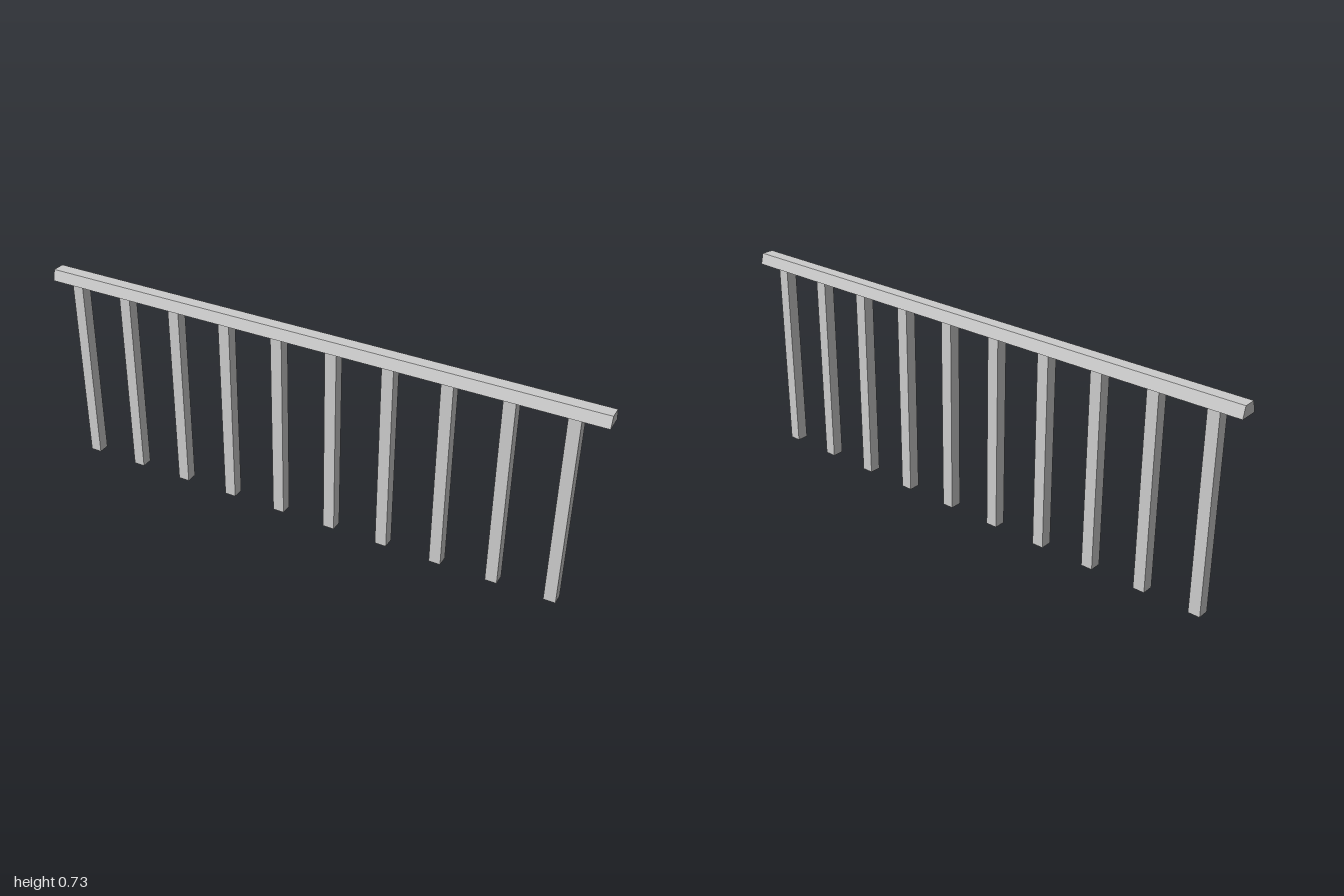
import * as THREE from 'three';

export function createModel() {
  const group = new THREE.Group();
  const material = new THREE.MeshStandardMaterial({ color: 0xcccccc, flatShading: true, side: THREE.DoubleSide });

  const railBottom = 0.691, railTop = 0.73;
  const postWidth = 0.041, postCount = 10, spacing = 0.1996, firstPost = -0.904;

  // Handrail: a trapezoid section running the full length
  const section = new THREE.Shape([
    new THREE.Vector2(-0.0325, railBottom),
    new THREE.Vector2(0.0325, railBottom),
    new THREE.Vector2(0.022, railTop),
    new THREE.Vector2(-0.022, railTop),
  ]);
  const railGeometry = new THREE.ExtrudeGeometry(section, { depth: 2, bevelEnabled: false });
  railGeometry.translate(0, 0, -1).rotateY(Math.PI / 2);
  const rail = new THREE.Mesh(railGeometry, material);
  rail.name = 'handrail';
  group.add(rail);

  // Square posts: hollow tubes with open ends, closed above by the rail
  const radius = postWidth / Math.SQRT2;
  const postGeometry = new THREE.CylinderGeometry(radius, radius, railBottom, 4, 1, true);
  postGeometry.rotateY(Math.PI / 4).translate(0, railBottom / 2, 0);
  for (let i = 0; i < postCount; i++) {
    const post = new THREE.Mesh(postGeometry, material);
    post.name = `post${i + 1}`;
    post.position.x = firstPost + i * spacing;
    group.add(post);
  }
  return group;
}
